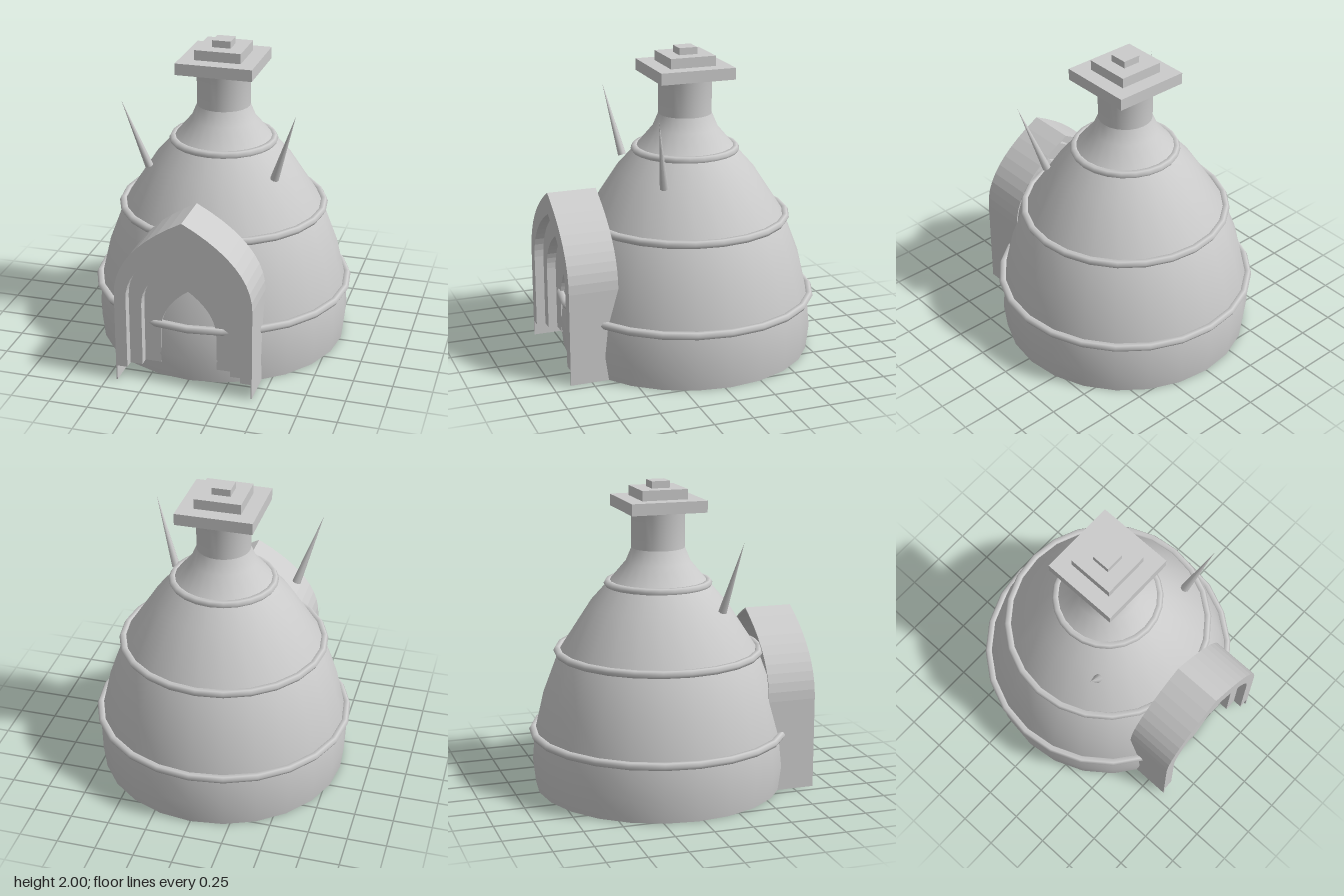
import * as THREE from 'three';

const grey = new THREE.MeshStandardMaterial({ color: 0xcccccc });
const greyDouble = new THREE.MeshStandardMaterial({ color: 0xcccccc, side: THREE.DoubleSide });
const CENTRE_Z = -0.035;

function add(parent, name, geometry, material = grey) {
  const mesh = new THREE.Mesh(geometry, material);
  mesh.name = name;
  parent.add(mesh);
  return mesh;
}

// Pointed arch outline from the right foot over the apex to the left foot
function archPoints(half, apex, spring, foot) {
  const curve = new THREE.QuadraticBezierCurve(
    new THREE.Vector2(half, spring),
    new THREE.Vector2(half, spring + 0.57 * (apex - spring)),
    new THREE.Vector2(0, apex));
  const right = [new THREE.Vector2(half, foot), ...curve.getPoints(10)];
  const left = right.slice(0, -1).reverse().map(p => new THREE.Vector2(-p.x, p.y));
  return [...right, ...left];
}

// Arch slab between two depths; with an inner outline it becomes a horseshoe
function archSlab(outer, inner, foot, zBack, zFront) {
  const points = archPoints(...outer, foot);
  if (inner) points.push(...archPoints(...inner, foot).reverse());
  const geometry = new THREE.ExtrudeGeometry(new THREE.Shape(points),
    { depth: zFront - zBack, bevelEnabled: false });
  return geometry.translate(0, 0, zBack);
}

export function createModel() {
  const model = new THREE.Group();
  model.name = 'domedHut';

  // Bulging dome that narrows into the chimney neck
  const tower = new THREE.Group();
  tower.name = 'tower';
  tower.position.z = CENTRE_Z;
  model.add(tower);
  const profile = [
    [0.81, 0], [0.828, 0.16], [0.81, 0.36], [0.75, 0.62], [0.645, 0.9],
    [0.445, 1.21], [0.32, 1.35], [0.21, 1.48], [0.172, 1.57]
  ].map(p => new THREE.Vector2(...p));
  add(tower, 'dome', new THREE.LatheGeometry(profile, 24), greyDouble);
  const neck = [[0.172, 1.57], [0.172, 1.8], [0.2, 1.82]].map(p => new THREE.Vector2(...p));
  add(tower, 'neck', new THREE.LatheGeometry(neck, 24), greyDouble);

  // Raised hoops around the dome
  for (const [radius, y] of [[0.822, 0.37], [0.655, 0.9], [0.325, 1.34]]) {
    const hoop = add(tower, 'hoop', new THREE.TorusGeometry(radius, 0.026, 6, 24));
    hoop.rotation.x = -Math.PI / 2;
    hoop.position.y = y;
  }

  // Stepped square cap
  for (const [width, bottom, top] of [[0.494, 1.815, 1.89], [0.3, 1.89, 1.955], [0.12, 1.955, 2]]) {
    const step = add(tower, 'capStep', new THREE.BoxGeometry(width, top - bottom, width));
    step.position.y = (bottom + top) / 2;
  }

  // Spikes leaning outwards on both shoulders
  for (const side of [-1, 1]) {
    const base = new THREE.Vector3(side * 0.41, 1.21, 0.257);
    const tip = new THREE.Vector3(side * 0.558, 1.67, 0.34);
    const axis = tip.clone().sub(base);
    const spike = add(model, side > 0 ? 'leftSpike' : 'rightSpike',
      new THREE.ConeGeometry(0.028, axis.length(), 8));
    spike.position.copy(base).add(tip).multiplyScalar(0.5);
    spike.quaternion.setFromUnitVectors(new THREE.Vector3(0, 1, 0), axis.normalize());
  }

  // Porch: thin outer shell, then recessed arches stepping back to the door
  const porch = new THREE.Group();
  porch.name = 'porch';
  model.add(porch);
  const arches = [[0.432, 1.12, 0.6], [0.365, 0.99, 0.58], [0.285, 0.85, 0.52], [0.18, 0.62, 0.33]];
  add(porch, 'porchShell', archSlab([0.44, 1.13, 0.6], arches[0], 0, 0.57, 0.888));
  for (let i = 0; i < 3; i++) {
    const front = 0.888 - i * 0.06;
    add(porch, 'archStep', archSlab(arches[i], arches[i + 1], 0.1, front - 0.06, front));
  }
  add(porch, 'door', archSlab(arches[3], null, 0.1, 0.69, 0.71));

  return model;
}
